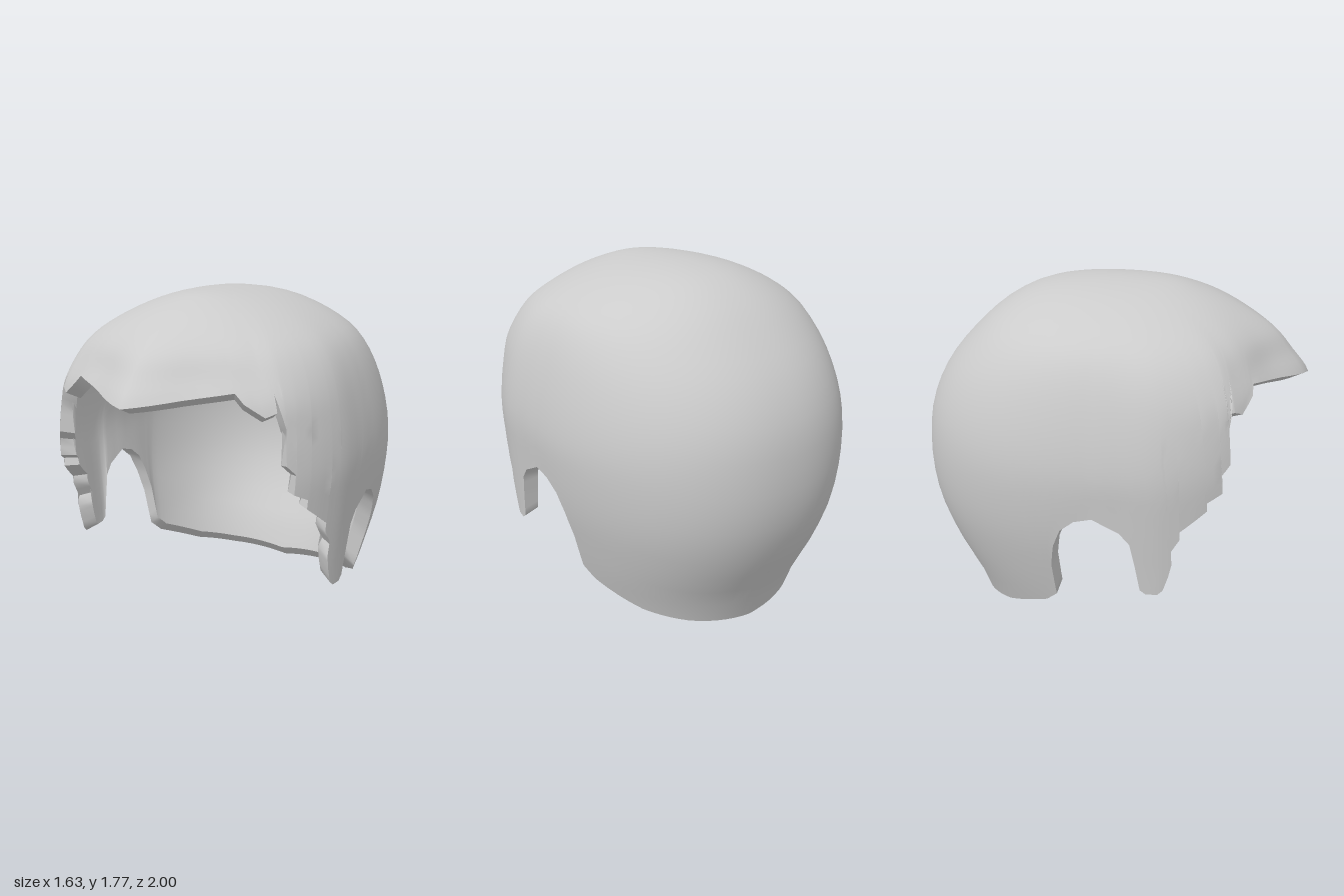
import * as THREE from 'three';
import { toCreasedNormals } from 'three/addons/utils/BufferGeometryUtils.js';

const TOP = 1.775;
const ROWS = 26;

// Smooth curve through [key, value] pairs sorted by key
function smooth(points, k) {
  const n = points.length;
  if (k <= points[0][0]) return points[0][1];
  if (k >= points[n - 1][0]) return points[n - 1][1];
  let i = 0;
  while (points[i + 1][0] < k) i++;
  const slope = (a, b) => (points[b][1] - points[a][1]) / (points[b][0] - points[a][0]);
  const d = points[i + 1][0] - points[i][0], t = (k - points[i][0]) / d;
  const m0 = slope(Math.max(i - 1, 0), i + 1) * d;
  const m1 = slope(i, Math.min(i + 2, n - 1)) * d;
  const t2 = t * t, t3 = t2 * t;
  return (2 * t3 - 3 * t2 + 1) * points[i][1] + (t3 - 2 * t2 + t) * m0
    + (3 * t2 - 2 * t3) * points[i + 1][1] + (t3 - t2) * m1;
}

// Profiles are [height, reach], keyed by the root of the depth below the crown
const depth = (y) => Math.sqrt(Math.max(0, TOP - y));
const profile = (list) => list.map(([y, v]) => [depth(y), v]);
const upperWidth = [[TOP, 0], [1.76, 0.17], [1.72, 0.33], [1.58, 0.6], [1.47, 0.69], [1.25, 0.77], [1, 0.81], [0.8, 0.8]];
const widthFront = profile([...upperWidth, [0.6, 0.785], [0.4, 0.77]]);
const widthBack = profile([...upperWidth, [0.6, 0.77], [0.4, 0.72], [0.27, 0.685], [0.1, 0.63], [0, 0.6]]);
const reachFront = profile([[TOP, 0], [1.765, 0.26], [1.72, 0.45], [1.65, 0.62], [1.53, 0.82], [1.43, 0.91], [1.31, 1], [1.2, 1]]);
const reachBack = profile([[TOP, 0], [1.74, 0.34], [1.65, 0.55], [1.5, 0.73], [1.32, 0.88], [1.12, 0.97],
  [0.9, 1], [0.72, 0.995], [0.55, 0.96], [0.35, 0.88], [0.18, 0.79], [0, 0.73]]);
// Correction by angle that gives the fringe its pointed middle
const peak = [[0, 1], [17, 0.925], [35, 0.98], [45, 1.035], [65, 1.045], [80, 1.012], [90, 1]];

// Horizontal distance from the axis at an angle (0 = front) and height
function radius(phi, y) {
  const s = depth(y), front = phi < Math.PI / 2, n = front ? 2 : 2.2;
  const w = smooth(front ? widthFront : widthBack, s);
  const l = smooth(front ? reachFront : reachBack, s);
  if (w < 1e-5 || l < 1e-5) return 0;
  const r = Math.pow(Math.pow(Math.abs(Math.sin(phi)) / w, n) + Math.pow(Math.abs(Math.cos(phi)) / l, n), -1 / n);
  const fade = THREE.MathUtils.smoothstep(TOP - y, 0.02, 0.38);
  return front ? r * (1 + (smooth(peak, phi * 180 / Math.PI) - 1) * fade) : r;
}

function angleAt(z, y) {
  let a = 0, b = Math.PI;
  for (let i = 0; i < 40; i++) {
    const m = (a + b) / 2;
    if (radius(m, y) * Math.cos(m) > z) a = m; else b = m;
  }
  return (a + b) / 2;
}

// Hem as [z, y]: fringe, tuft, temple locks, sideburn, ear arch, nape
const hem = [
  [1, 1.31], [0.86, 1.345], [0.73, 1.375], [0.73, 1.33], [0.69, 1.27], [0.655, 1.29], [0.635, 1.37],
  [0.635, 1.22], [0.625, 1.19], [0.65, 1.05], [0.61, 1.0], [0.62, 0.91], [0.545, 0.87], [0.555, 0.83],
  [0.43, 0.73], [0.435, 0.69], [0.38, 0.6], [0.4, 0.55], [0.385, 0.48], [0.36, 0.4], [0.335, 0.378],
  [0.28, 0.378], [0.25, 0.4], [0.225, 0.54], [0.2, 0.66], [0.15, 0.72], [0.02, 0.785], [-0.07, 0.76],
  [-0.14, 0.7], [-0.18, 0.6], [-0.2, 0.47], [-0.19, 0.27], [-0.25, 0.21], [-0.49, 0.1], [-0.65, 0.05], [-0.73, 0],
];

// Hem resampled evenly as { phi, y, s }, s being the length along it
function hemColumns() {
  const cols = [];
  const ends = hem.map(([z, y], i) => ({
    y, phi: i === 0 ? 0 : i === hem.length - 1 ? Math.PI : angleAt(z, y),
  }));
  let s = 0;
  for (let i = 0; i < ends.length - 1; i++) {
    const a = ends[i], b = ends[i + 1];
    const length = Math.hypot((b.phi - a.phi) * 0.8, b.y - a.y);
    const steps = Math.max(1, Math.ceil(length / 0.06));
    for (let k = 0; k < steps; k++) {
      const t = k / steps;
      cols.push({ phi: a.phi + (b.phi - a.phi) * t, y: a.y + (b.y - a.y) * t, s: s + length * t });
    }
    s += length;
  }
  cols.push({ ...ends[ends.length - 1], s });
  cols.forEach((c) => { c.start = Math.PI * c.s / s; });
  return cols;
}

function shellGeometry() {
  const half = hemColumns().map((c) => ({ ...c, side: 1 }));
  const columns = [...half, ...half.slice(1, -1).reverse().map((c) => ({ ...c, side: -1 }))];
  const core = new THREE.Vector3(0, 0.85, 0);
  const positions = [], index = [];
  const stride = 2 * (ROWS + 1);
  for (const c of columns) {
    const outer = [], inner = [];
    for (let j = 0; j <= ROWS; j++) {
      const t = j / ROWS;
      const y = TOP - (TOP - c.y) * Math.pow(t, 1.7);
      const phi = c.start + (c.phi - c.start) * Math.pow(t, 1.2);
      const r = j === 0 ? 0 : radius(phi, y);
      const p = new THREE.Vector3(c.side * r * Math.sin(phi), y, r * Math.cos(phi));
      // The wall thickens towards the rim
      const toCore = core.clone().sub(p).setLength(0.03 + 0.05 * Math.pow(t, 4));
      outer.push(p);
      inner.unshift(p.clone().add(toCore));
    }
    for (const p of [...outer, ...inner]) positions.push(p.x, p.y, p.z);
  }
  for (let i = 0; i < columns.length; i++) {
    const a0 = i * stride, b0 = ((i + 1) % columns.length) * stride;
    for (let j = 0; j < stride - 1; j++) {
      const a = a0 + j, b = b0 + j;
      if (j > 0) index.push(a, a + 1, b);
      if (j < stride - 2) index.push(b, a + 1, b + 1);
    }
  }
  const geometry = new THREE.BufferGeometry();
  geometry.setAttribute('position', new THREE.Float32BufferAttribute(positions, 3));
  geometry.setIndex(index);
  return toCreasedNormals(geometry, 0.9);
}

export function createModel() {
  const group = new THREE.Group();
  group.name = 'hairpiece';
  const material = new THREE.MeshStandardMaterial({ color: 0xcccccc, side: THREE.DoubleSide });
  const shell = new THREE.Mesh(shellGeometry(), material);
  shell.name = 'hairShell';
  group.add(shell);
  return group;
}
